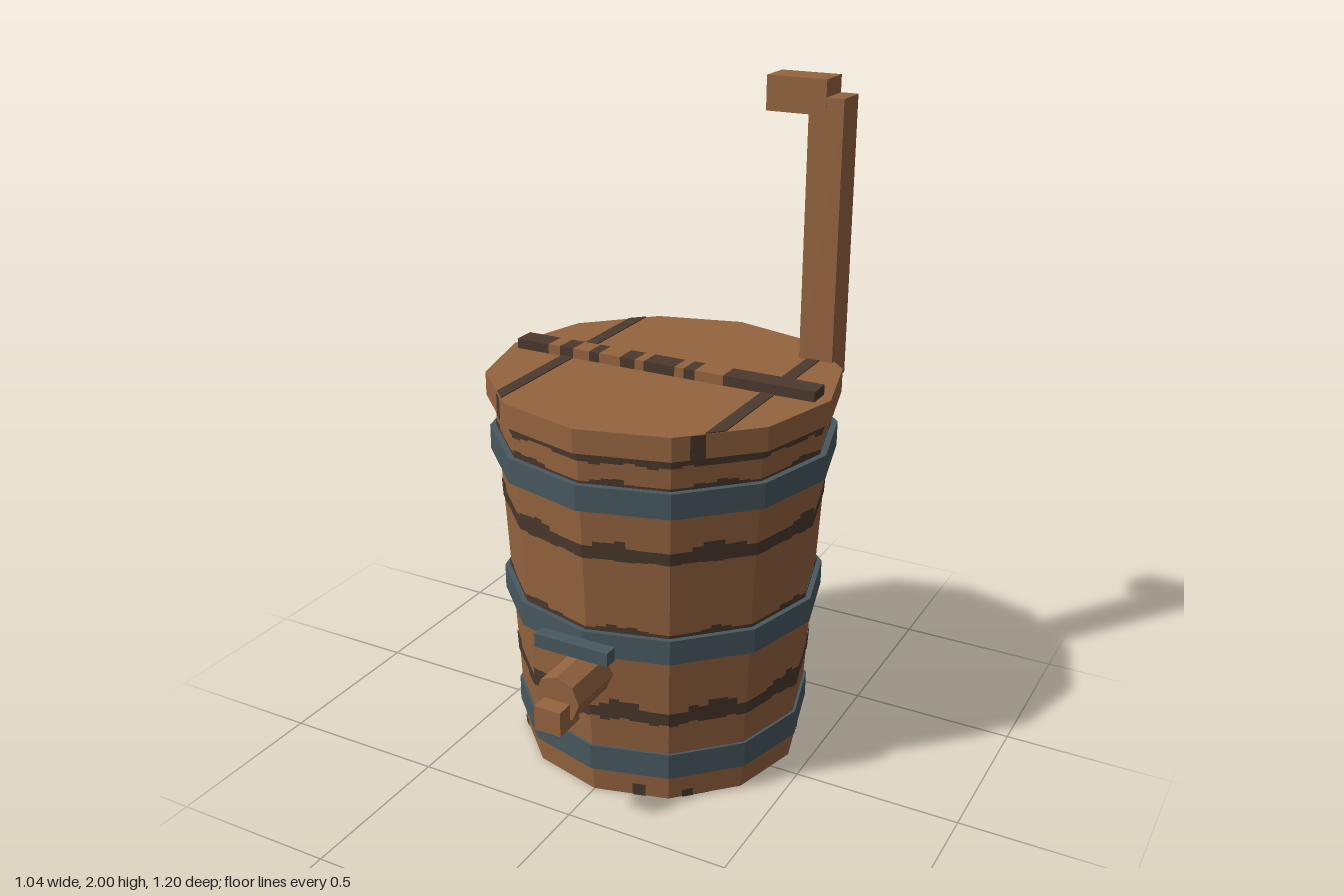
import * as THREE from 'three';

const CZ = -0.08;          // barrel axis
const SIDES = 12;
const LID_R = 0.52;

const mat = (name, color) => {
  const m = new THREE.MeshStandardMaterial({ color, flatShading: true });
  m.name = name;
  return m;
};

export function createModel() {
  const wood = mat('wood', 0x94643f);
  const stainMat = mat('dark wood stain', 0x4b392d);
  const iron = mat('iron', 0x47585f);
  const model = new THREE.Group();
  model.name = 'waterBarrel';

  let seed = 7;
  const rand = () => (seed = (seed * 16807) % 2147483647) / 2147483647;

  const add = (name, geo, material, x = 0, y = 0, z = 0) => {
    const mesh = new THREE.Mesh(geo, material);
    mesh.name = name;
    mesh.position.set(x, y, z);
    model.add(mesh);
    return mesh;
  };
  // Box given by its extents
  const box = (name, material, x0, x1, y0, y1, z0, z1) =>
    add(name, new THREE.BoxGeometry(x1 - x0, y1 - y0, z1 - z0), material,
      (x0 + x1) / 2, (y0 + y1) / 2, (z0 + z1) / 2);
  const drum = (name, material, rTop, rBottom, y0, y1) =>
    add(name, new THREE.CylinderGeometry(rTop, rBottom, y1 - y0, SIDES), material, 0, (y0 + y1) / 2, CZ);

  // Barrel body, lid and hoops
  const bodyR = y => 0.435 + 0.062 * y / 1.11;
  const lidR = () => LID_R;
  drum('barrelBody', wood, bodyR(1.11), bodyR(0), 0, 1.11);
  drum('lid', wood, LID_R, LID_R, 1.11, 1.18);
  [[0.08, 0.16, 0.452], [0.48, 0.555, 0.485], [0.94, 1.015, 0.513]]
    .forEach(([y0, y1, r]) => drum('hoop', iron, r, r, y0, y1));

  // Point on the twelve-sided wall, just above the wood; u counts facets from the front
  const wall = (u, y, radius) => {
    const i = Math.floor(u), f = u - i, r = radius(y) + 0.003;
    const a = i * Math.PI * 2 / SIDES, b = (i + 1) * Math.PI * 2 / SIDES;
    return [
      r * (Math.sin(a) * (1 - f) + Math.sin(b) * f), y,
      r * (Math.cos(a) * (1 - f) + Math.cos(b) * f)];
  };
  // Stain made of vertical strips: each strip is [u0, u1, y0, y1]
  const stain = (name, strips, radius = bodyR) => {
    const pos = [];
    for (const [u0, u1, y0, y1] of strips) {
      const a = wall(u0, y0, radius), b = wall(u1 - 1e-6, y0, radius);
      const c = wall(u1 - 1e-6, y1, radius), d = wall(u0, y1, radius);
      pos.push(...a, ...b, ...c, ...a, ...c, ...d);
    }
    const geo = new THREE.BufferGeometry();
    geo.setAttribute('position', new THREE.Float32BufferAttribute(pos, 3));
    geo.computeVertexNormals();
    add(name, geo, stainMat, 0, 0, CZ);
  };

  // Weathered rings with ragged edges
  const STEPS = 8;
  const ring = (y0, y1, low, high) => {
    const strips = [];
    for (let k = 0; k < SIDES * STEPS; k++) {
      const wave = Math.max(0, Math.sin(k * 0.65) + rand() - 0.5);
      strips.push([k / STEPS, (k + 1) / STEPS,
        y0 + low * Math.round(rand() * 2) / 2, y1 + high * Math.min(1, wave)]);
    }
    stain('weatheredRing', strips);
  };
  ring(0.255, 0.3, 0.012, 0.03);
  ring(0.55, 0.565, 0, 0.015);
  ring(0.785, 0.825, 0.005, 0.025);
  ring(1.075, 1.109, 0.012, 0);
  ring(1.01, 1.022, 0, 0.015);

  // Small worn patches and drips: angle from the front, width, y range
  const perRad = SIDES / (Math.PI * 2);
  [
    [0.32, 0.09, 0, 0.04], [0.66, 0.08, 0, 0.025], [1.93, 0.08, 0, 0.025],
    [2.56, 0.14, 0, 0.04], [3.9, 0.09, 0, 0.03], [5.3, 0.09, 0, 0.025],
    [2.22, 0.14, 0.88, 0.905], [3.95, 0.12, 0.88, 0.905],
    [2.58, 0.04, 0.16, 0.26], [3.65, 0.04, 0.16, 0.26],
  ].forEach(([a, w, y0, y1]) =>
    stain('wornPatch', [[(a - w / 2) * perRad, (a + w / 2) * perRad, y0, y1]]));

  // Dark marks on the lid rim
  for (const u of [1.27, 4.55, 7.5, 10.73])
    stain('rimMark', [[u - 0.08, u + 0.08, 1.111, 1.179]], lidR);

  // Dark seams across the lid and the underside
  const seam = (x0, x1, scale, y) => {
    const edge = x => 0.708 - Math.abs(x);
    const shape = new THREE.Shape([
      [x0, -edge(x0)], [x1, -edge(x1)], [x1, edge(x1)], [x0, edge(x0)],
    ].map(([x, z]) => new THREE.Vector2(x * scale, z * scale)));
    const geo = new THREE.ExtrudeGeometry(shape, { depth: 0.004, bevelEnabled: false });
    geo.rotateX(-Math.PI / 2);
    add('boardSeam', geo, stainMat, 0, y, CZ);
  };
  for (const [x0, x1] of [[-0.33, -0.29], [0.325, 0.365]]) {
    seam(x0, x1, 1, 1.179);
    seam(x0, x1, bodyR(0) / LID_R, -0.002);
  }

  // Batten over the lid, alternating dark and bare wood
  const cuts = [-0.485, -0.375, -0.335, -0.29, -0.235, -0.2, -0.13, -0.08, -0.05, 0.05, 0.08, 0.115, 0.205, 0.485];
  for (let i = 0; i < cuts.length - 1; i++)
    box('lidBatten', i % 2 ? wood : stainMat, cuts[i], cuts[i + 1], 1.18, 1.21, -0.115, -0.045);

  // Pump handle
  box('handlePost', wood, 0.3, 0.405, 1.12, 1.95, -0.473, -0.368);
  box('handleGrip', wood, 0.17, 0.352, 1.9, 2, -0.474, -0.367);

  // Tap with spout and iron lever
  const tap = new THREE.CylinderGeometry(0.071, 0.071, 0.2, 8);
  tap.rotateX(Math.PI / 2);
  add('tapBody', tap, wood, 0, 0.412, 0.448);
  box('spout', wood, -0.042, 0.042, 0.333, 0.408, 0.5, 0.6);
  box('tapLever', iron, -0.118, 0.118, 0.508, 0.55, 0.43, 0.472);

  return model;
}
